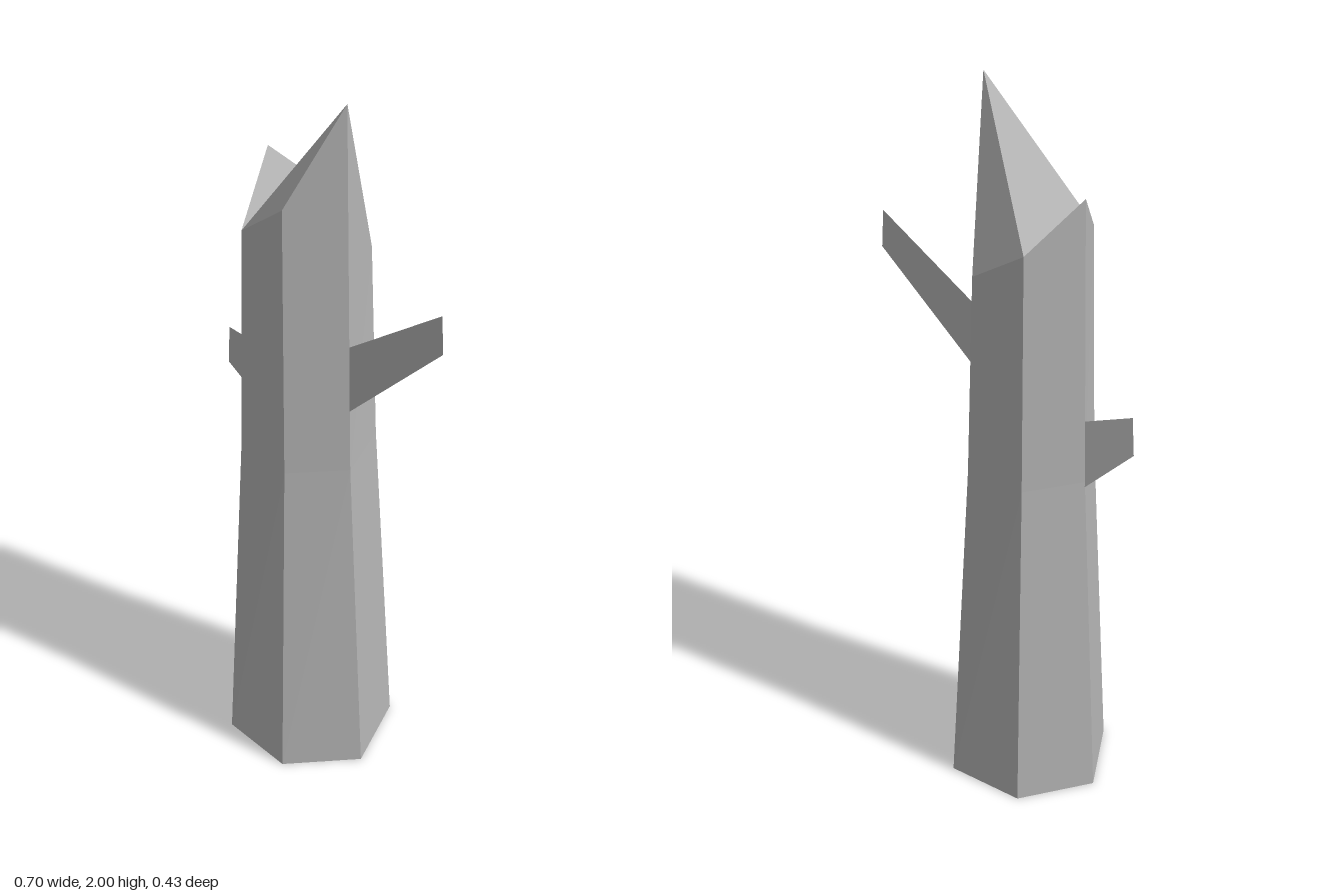
import * as THREE from 'three';

const bark = new THREE.MeshStandardMaterial({ color: 0xb4b4b4, flatShading: true });
bark.name = 'grey bark';
const thinBark = bark.clone();
thinBark.name = 'grey bark';
thinBark.side = THREE.DoubleSide;

// Flat-shaded mesh from polygons, each a counter-clockwise list of Vector3
function polygonMesh(name, polygons, material) {
  const points = [];
  for (const p of polygons) {
    for (let i = 1; i < p.length - 1; i++) points.push(p[0], p[i], p[i + 1]);
  }
  const geometry = new THREE.BufferGeometry().setFromPoints(points);
  geometry.computeVertexNormals();
  const mesh = new THREE.Mesh(geometry, material);
  mesh.name = name;
  return mesh;
}

// Hexagonal ring, counter-clockwise from the front corner; each corner has its own height
function ring(halfWidth, depth, sideDepth, heights) {
  const xs = [0, 1, 1, 0, -1, -1];
  const zs = [depth, sideDepth, -sideDepth, -depth, -sideDepth, sideDepth];
  return xs.map((x, i) => new THREE.Vector3(x * halfWidth - 0.077, heights[i], zs[i]));
}

export function createModel() {
  const model = new THREE.Group();
  model.name = 'brokenTreeTrunk';

  // Tapering trunk: base, middle and jagged top
  const rings = [
    ring(0.197, 0.217, 0.118, Array(6).fill(0)),
    ring(0.152, 0.169, 0.094, Array(6).fill(0.97)),
    ring(0.138, 0.158, 0.087, [1.73, 2, 1.53, 1.63, 1.76, 1.61]),
  ];
  const sides = [];
  for (let r = 0; r < 2; r++) {
    for (let i = 0; i < 6; i++) {
      const j = (i + 1) % 6;
      sides.push([rings[r][i], rings[r][j], rings[r + 1][j], rings[r + 1][i]]);
    }
  }
  sides.push([...rings[0]].reverse());
  model.add(polygonMesh('trunk', sides, bark));

  // Splintered break: a sloping triangle with three corner facets
  const t = rings[2];
  const facets = [[1, 3, 5], [0, 1, 5], [1, 2, 3], [3, 4, 5]];
  model.add(polygonMesh('brokenTop', facets.map((f) => f.map((i) => t[i])), bark));

  // Thin flat branch stubs
  const stub = (name, corners) =>
    model.add(polygonMesh(name, [corners.map((c) => new THREE.Vector3(...c))], thinBark));
  stub('leftBranch', [
    [0.072, 1.15, 0.093], [0.35, 1.45, 0.202], [0.344, 1.555, 0.2], [0.07, 1.34, 0.092],
  ]);
  stub('rightBranch', [
    [-0.229, 0.955, -0.095], [-0.226, 1.15, -0.094], [-0.348, 1.185, -0.116], [-0.354, 1.075, -0.117],
  ]);
  return model;
}
